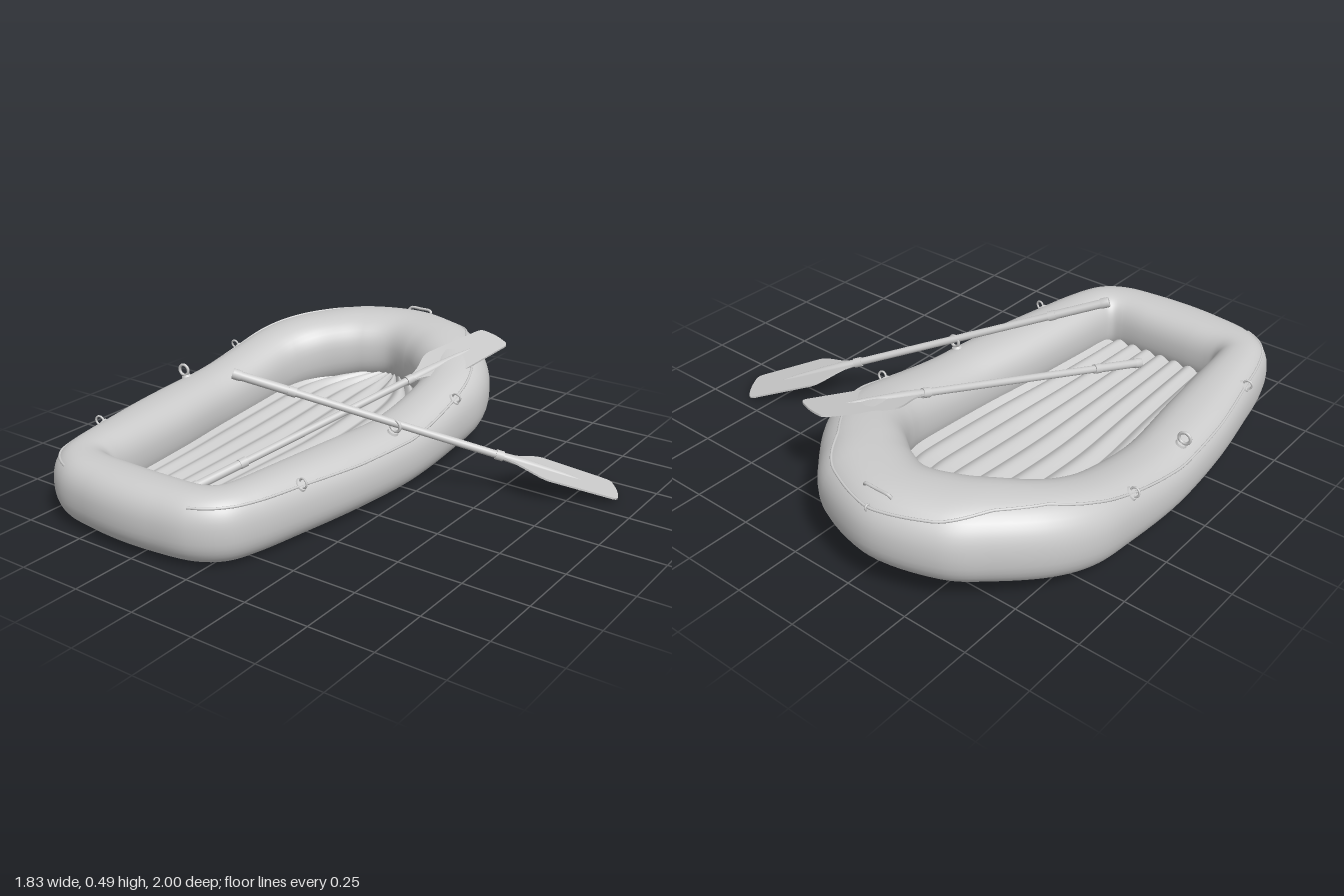
import * as THREE from 'three';
import { ParametricGeometry } from 'three/addons/geometries/ParametricGeometry.js';

const CX = -0.33; // centre line of the boat
const N = 26; // control points around each outline
const mat = new THREE.MeshStandardMaterial({ color: 0xcccccc, roughness: 0.7 });
const V = (x, y, z) => new THREE.Vector3(x, y, z);

function mesh(geometry, name, parent) {
  const m = new THREE.Mesh(geometry, mat);
  m.name = name;
  parent.add(m);
  return m;
}

// Closed symmetric outline from its left half, bow to stern
function outline(half) {
  const pts = half.map(([x, z]) => V(x, 0, z));
  for (let i = half.length - 2; i > 0; i--) pts.push(V(-half[i][0], 0, half[i][1]));
  return new THREE.CatmullRomCurve3(pts, true, 'catmullrom', 0.5);
}
const outer = outline([[0, -1], [0.245, -0.935], [0.38, -0.82], [0.51, -0.66], [0.575, -0.5], [0.585, -0.31],
  [0.583, 0], [0.555, 0.3], [0.505, 0.57], [0.465, 0.75], [0.41, 0.88], [0.3, 0.96], [0.15, 0.99], [0, 1]]);
const inner = outline([[0, -0.66], [0.11, -0.62], [0.19, -0.565], [0.26, -0.5], [0.305, -0.42], [0.325, -0.3],
  [0.325, 0], [0.29, 0.3], [0.265, 0.57], [0.255, 0.7], [0.242, 0.742], [0.2, 0.755], [0.1, 0.755], [0, 0.755]]);

// The bow sweeps upward
const rise = (z) => THREE.MathUtils.clamp((0.05 - z) / 0.88, 0, 1);
const bottomY = (z) => 0.085 * rise(z) ** 1.5;
const topY = (z) => 0.255 + 0.13 * THREE.MathUtils.smoothstep(rise(z), 0, 1);
const soft = (v) => Math.sign(v) * Math.abs(v) ** 0.85;

// Point on the inflated tube: t runs round the boat, a round the section (0 = outside, 90 degrees = top)
function hullPoint(t, a) {
  const s = ((t % 1) + 1) % 1;
  const o = outer.getPoint(s), i = inner.getPoint(s);
  const p = i.clone().lerp(o, 0.5 + 0.5 * soft(Math.cos(a)));
  const z = (o.z + i.z) / 2, lo = bottomY(z), hi = topY(z);
  p.y = (lo + hi) / 2 + (hi - lo) / 2 * soft(Math.sin(a));
  p.x += CX;
  return p;
}

// Group standing on the tube: local y points out of the skin, local z along the tube
function fitting(name, index, degrees, parent) {
  const t = index / N, a = THREE.MathUtils.degToRad(degrees), e = 0.002;
  const p = hullPoint(t, a);
  const along = hullPoint(t + e, a).sub(hullPoint(t - e, a)).normalize();
  const up = hullPoint(t, a + e).sub(hullPoint(t, a - e)).cross(along).normalize();
  const g = new THREE.Group();
  g.name = name;
  g.quaternion.setFromRotationMatrix(new THREE.Matrix4().makeBasis(up.clone().cross(along), up, along));
  g.position.copy(p);
  parent.add(g);
  return g;
}

function bladeShape() {
  const s = new THREE.Shape();
  s.moveTo(-0.016, 0);
  s.bezierCurveTo(-0.025, 0.08, -0.1, 0.13, -0.1, 0.18);
  s.lineTo(-0.083, 0.43);
  s.quadraticCurveTo(-0.08, 0.455, -0.055, 0.457);
  s.quadraticCurveTo(0, 0.468, 0.055, 0.457);
  s.quadraticCurveTo(0.08, 0.455, 0.083, 0.43);
  s.lineTo(0.1, 0.18);
  s.bezierCurveTo(0.1, 0.13, 0.025, 0.08, 0.016, 0);
  s.closePath();
  return s;
}

// Oar from its grip end to its blade tip, rolled about its axis
function makeOar(name, grip, tip, roll, parent) {
  const g = new THREE.Group();
  g.name = name;
  const dir = tip.clone().sub(grip), len = dir.length();
  dir.normalize();
  const side = dir.clone().cross(V(0, 1, 0)).normalize().applyAxisAngle(dir, roll);
  g.quaternion.setFromRotationMatrix(new THREE.Matrix4().makeBasis(side, dir, side.clone().cross(dir)));
  g.position.copy(grip);
  parent.add(g);

  // Grip, shaft and collars are turned about the oar axis
  const bladeStart = len - 0.46;
  const turned = (pts, partName) =>
    mesh(new THREE.LatheGeometry(pts.map(([r, y]) => new THREE.Vector2(r, y)), 20), partName, g);
  turned([[0, 0], [0.018, 0], [0.018, 0], [0.02, 0.004], [0.02, 0.03], [0.017, 0.035], [0.017, 0.22]], 'grip');
  turned([[0.0145, 0.2], [0.0145, bladeStart + 0.02]], 'shaft');
  for (const y of [0.21, bladeStart - 0.02]) {
    turned([[0.014, y], [0.019, y], [0.019, y], [0.019, y + 0.03], [0.019, y + 0.03], [0.014, y + 0.03]], 'collar');
  }

  // Flat blade with a tapering spine
  const blade = mesh(new THREE.ExtrudeGeometry(bladeShape(), { depth: 0.007, bevelEnabled: false, curveSegments: 10 }), 'blade', g);
  blade.position.set(0, bladeStart, -0.0035);
  const spine = turned([[0.016, 0], [0.019, 0.05], [0.018, 0.12], [0.012, 0.25], [0, 0.36]], 'bladeSpine');
  spine.position.y = bladeStart;
  spine.scale.z = 0.85;
}

export function createModel() {
  const model = new THREE.Group();
  model.name = 'inflatableBoat';

  // Inflated tube
  mesh(new ParametricGeometry((u, v, target) => target.copy(hullPoint(v, u * Math.PI * 2)), 40, 182), 'hullTube', model);

  // Ribbed air floor, upper and lower skins
  const floor = new THREE.Group();
  floor.name = 'floor';
  model.add(floor);
  for (const side of [1, -1]) {
    mesh(new ParametricGeometry((u, v, target) => {
      const w = -side * (2 * u - 1);
      const p = inner.getPoint((0.03 + 10.97 * v) / N);
      const z = (p.z - 0.05) * 1.07 + 0.05;
      const h = 0.01 + 0.022 * Math.abs(Math.cos(w * 4.5 * Math.PI));
      target.set(CX + w * p.x * 1.2, bottomY(z) + 0.05 + side * h, z);
    }, 108, 44), side > 0 ? 'floorTop' : 'floorBottom', floor);
  }

  // Grab rope draped round the bow and along both sides
  const ropeAngles = [38, 45, 62, 68, 58, 45, 35, 35, 40, 42, 45, 45];
  const ropePts = [];
  for (let k = -44; k <= 44; k++) {
    const f = Math.abs(k) / 4, i = Math.min(Math.floor(f), 10);
    const a = THREE.MathUtils.lerp(ropeAngles[i], ropeAngles[i + 1], f - i);
    ropePts.push(hullPoint(k / 4 / N, THREE.MathUtils.degToRad(a)));
  }
  mesh(new THREE.TubeGeometry(new THREE.CatmullRomCurve3(ropePts), 260, 0.005, 8), 'grabRope', model);

  for (const s of [1, -1]) {
    // Rope eyelets
    for (const [index, angle] of [[5, 45], [8, 42]]) {
      const g = fitting('ropeEyelet', s * index, angle, model);
      const base = mesh(new THREE.CylinderGeometry(0.016, 0.02, 0.008, 16), 'eyeletBase', g);
      base.scale.x = 1.3;
      mesh(new THREE.TorusGeometry(0.017, 0.004, 8, 20), 'eyeletRing', g).position.y = 0.014;
    }
    // Oarlocks
    const lock = fitting('oarlock', s * 6.2, 65, model);
    mesh(new THREE.CylinderGeometry(0.018, 0.024, 0.014, 20), 'oarlockBase', lock);
    mesh(new THREE.TorusGeometry(0.022, 0.006, 10, 24), 'oarlockRing', lock).position.y = 0.03;
  }

  // Carry handle and towing eye on the bow
  const handle = fitting('bowHandle', 0, 62, model);
  const arch = [[-0.058, -0.004], [-0.05, 0.008], [0, 0.01], [0.05, 0.008], [0.058, -0.004]];
  mesh(new THREE.TubeGeometry(new THREE.CatmullRomCurve3(arch.map(([x, y]) => V(0, y, x))), 24, 0.006, 8), 'handleBar', handle);
  const tow = fitting('towingEye', 0, 38, model);
  mesh(new THREE.TorusGeometry(0.01, 0.004, 8, 16), 'towingRing', tow);

  // One oar through its lock, the other resting in the boat
  makeOar('leftOar', V(-0.295, 0.475, 0.395), V(0.875, 0.012, -0.41), 0, model);
  makeOar('spareOar', V(-0.31, 0.1, 0.63), V(0.15, 0.388, -0.75), 0.14, model);

  return model;
}
